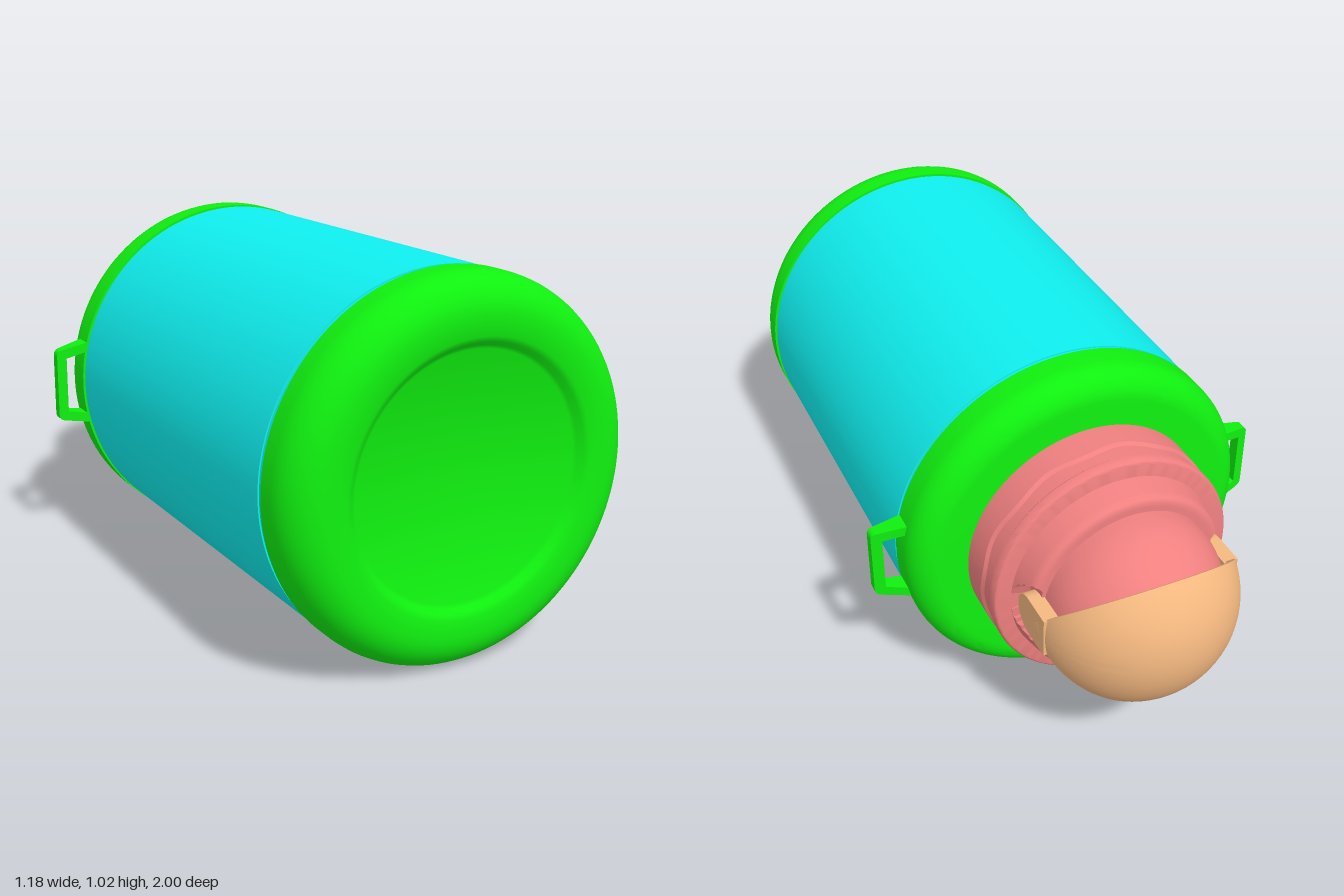
import * as THREE from 'three';
import { toCreasedNormals } from 'three/addons/utils/BufferGeometryUtils.js';

const material = (color) => new THREE.MeshStandardMaterial({ color, side: THREE.DoubleSide });
const green = material(0x10f010), cyan = material(0x10f0f0);
const pink = material(0xf08080), tan = material(0xf4b880);

function mesh(name, geometry, mat) {
  const m = new THREE.Mesh(geometry, mat);
  m.name = name;
  return m;
}

// Quarter arc from angle a to b (degrees), as profile points
function arc(cx, cy, r, a, b, n = 10) {
  return Array.from({ length: n + 1 }, (_, i) => {
    const t = THREE.MathUtils.degToRad(a + ((b - a) * i) / n);
    return [cx + r * Math.cos(t), cy + r * Math.sin(t)];
  });
}

// Turned part; the optional rule moves each vertex
function turned(name, points, mat, rule, crease = 0.6) {
  const g = new THREE.LatheGeometry(points.map(([x, y]) => new THREE.Vector2(x, y)), 128);
  if (rule) {
    const p = g.attributes.position, v = new THREE.Vector3();
    for (let i = 0; i < p.count; i++) {
      rule(v.fromBufferAttribute(p, i));
      p.setXYZ(i, v.x, v.y, v.z);
    }
  }
  return mesh(name, toCreasedNormals(g, crease), mat);
}

// Hemispherical hood segment with 45 degree cuts and two pivot arms
function createHood() {
  const hood = new THREE.Group();
  hood.name = 'spoutHood';
  const ring = [...arc(0, 0, 0.29, -90, 90, 40), ...arc(0, 0, 0.268, 90, -90, 40)]
    .map(([x, y]) => new THREE.Vector2(Math.max(x, 0), y));
  const start = Math.PI * 1.25, length = Math.PI / 2;
  const shell = new THREE.LatheGeometry(ring, 40, start, length);
  const parts = [mesh('hoodShell', toCreasedNormals(shell, 0.6), tan)];
  for (const phi of [start, start + length]) {
    const edge = new THREE.ShapeGeometry(new THREE.Shape(ring));
    parts.push(mesh('hoodEdge', edge.rotateY(phi - Math.PI / 2), tan));
  }
  for (const part of parts) {
    part.geometry.rotateZ(-Math.PI / 2).translate(0, 0.71, 0);
    hood.add(part);
  }

  const s = new THREE.Shape();
  s.moveTo(0.775, -0.06);
  s.lineTo(0.775, 0.06);
  s.lineTo(0.68, 0.06);
  s.absarc(0.68, 0, 0.06, Math.PI / 2, Math.PI * 1.5, false);
  const basis = new THREE.Matrix4().makeBasis(
    new THREE.Vector3(0, 1, 0), new THREE.Vector3(0, 0, 1), new THREE.Vector3(1, 0, 0));
  for (const x of [0.245, -0.287]) {
    const g = new THREE.ExtrudeGeometry(s, { depth: 0.042, bevelEnabled: false, curveSegments: 16 });
    hood.add(mesh('hoodArm', g.applyMatrix4(basis).translate(x, 0, 0), tan));
  }
  return hood;
}

// Side loop: trapezoid with a window, thinner toward its outer bar
function createHandle(turn) {
  const s = new THREE.Shape();
  s.moveTo(0.47, -0.13);
  s.lineTo(0.57, -0.111);
  s.quadraticCurveTo(0.59, -0.108, 0.59, -0.09);
  s.lineTo(0.59, 0.09);
  s.quadraticCurveTo(0.59, 0.108, 0.57, 0.111);
  s.lineTo(0.47, 0.13);
  const hole = new THREE.Path();
  [[0.48, -0.1], [0.48, 0.1], [0.56, 0.083], [0.56, -0.083]]
    .forEach(([x, y], i) => (i ? hole.lineTo(x, y) : hole.moveTo(x, y)));
  hole.closePath();
  s.holes.push(hole);
  const g = new THREE.ExtrudeGeometry(s, { depth: 1, bevelEnabled: false });
  const p = g.attributes.position;
  for (let i = 0; i < p.count; i++) {
    const depth = 0.055 - (p.getX(i) - 0.5) * 0.28;
    p.setZ(i, -0.3 - (1 - p.getZ(i)) * depth);
  }
  g.computeVertexNormals();
  const handle = mesh('sideHandle', g, green);
  handle.rotation.z = turn;
  return handle;
}

export function createModel() {
  const model = new THREE.Group();
  model.name = 'bottle';

  // Turned parts stand on local y, then lie down with the cap facing -z
  const body = new THREE.Group();
  body.name = 'bottleBody';
  body.rotation.x = -Math.PI / 2;

  // Rounded base with a recessed disc
  body.add(turned('base', [
    [0, -0.975], [0.325, -0.975], [0.335, -0.98], [0.345, -0.993], [0.36, -1],
    ...arc(0.41, -0.9, 0.1, -90, 0), [0.51, -0.855], [0.49, -0.855],
  ], green));
  body.add(turned('barrel', [
    [0.49, -0.86], [0.503, -0.855], [0.503, -0.835], [0.507, -0.835],
    [0.507, 0.285], [0.503, 0.285], [0.503, 0.305], [0.49, 0.31],
  ], cyan));
  body.add(turned('shoulder', [
    [0.49, 0.3], [0.51, 0.3], ...arc(0.43, 0.36, 0.08, 0, 90), [0.3, 0.44],
  ], green));

  // Cap skirt with a wavy step around the middle
  body.add(turned('capSkirt', [
    [0.34, 0.43], [0.354, 0.44], [0.354, 0.525], [0.347, 0.535], [0.347, 0.575],
    [0.353, 0.582], ...arc(0.341, 0.6, 0.012, 0, 90, 4), [0.25, 0.612],
  ], pink, (v) => {
    if (v.y > 0.5 && v.y < 0.56) v.y += 0.006 * Math.sin(10 * Math.atan2(v.z, v.x));
  }));

  // Upper collar, notched on both sides for the hood arms
  const collar = [];
  for (let i = 0; i <= 8; i++) collar.push([0.306 - 0.0018 * i, 0.605 + 0.009 * i]);
  collar.push([0.286, 0.687], [0.278, 0.692], [0.265, 0.692], [0.24, 0.692]);
  body.add(turned('capCollar', collar, pink, (v) => {
    if (Math.hypot(v.y - 0.7, v.z) < 0.09) v.x = THREE.MathUtils.clamp(v.x, -0.252, 0.252);
  }));

  // Domed spout housing with a pocket on its underside
  body.add(turned('spoutDome', [
    [0.25, 0.68], [0.25, 0.71], ...arc(0, 0.71, 0.25, 3, 90, 36),
  ], pink, (v) => {
    if (v.z < 0 && Math.abs(v.x) < 0.085 && v.y > 0.75 && v.y < 0.93) {
      v.z *= 0.8;
      v.y = 0.71 + (v.y - 0.71) * 0.88;
    }
  }));

  body.add(createHood());
  model.add(body, createHandle(0), createHandle(Math.PI));
  model.position.y = 0.51;
  const root = new THREE.Group();
  root.name = 'drinkBottle';
  root.add(model);
  return root;
}
